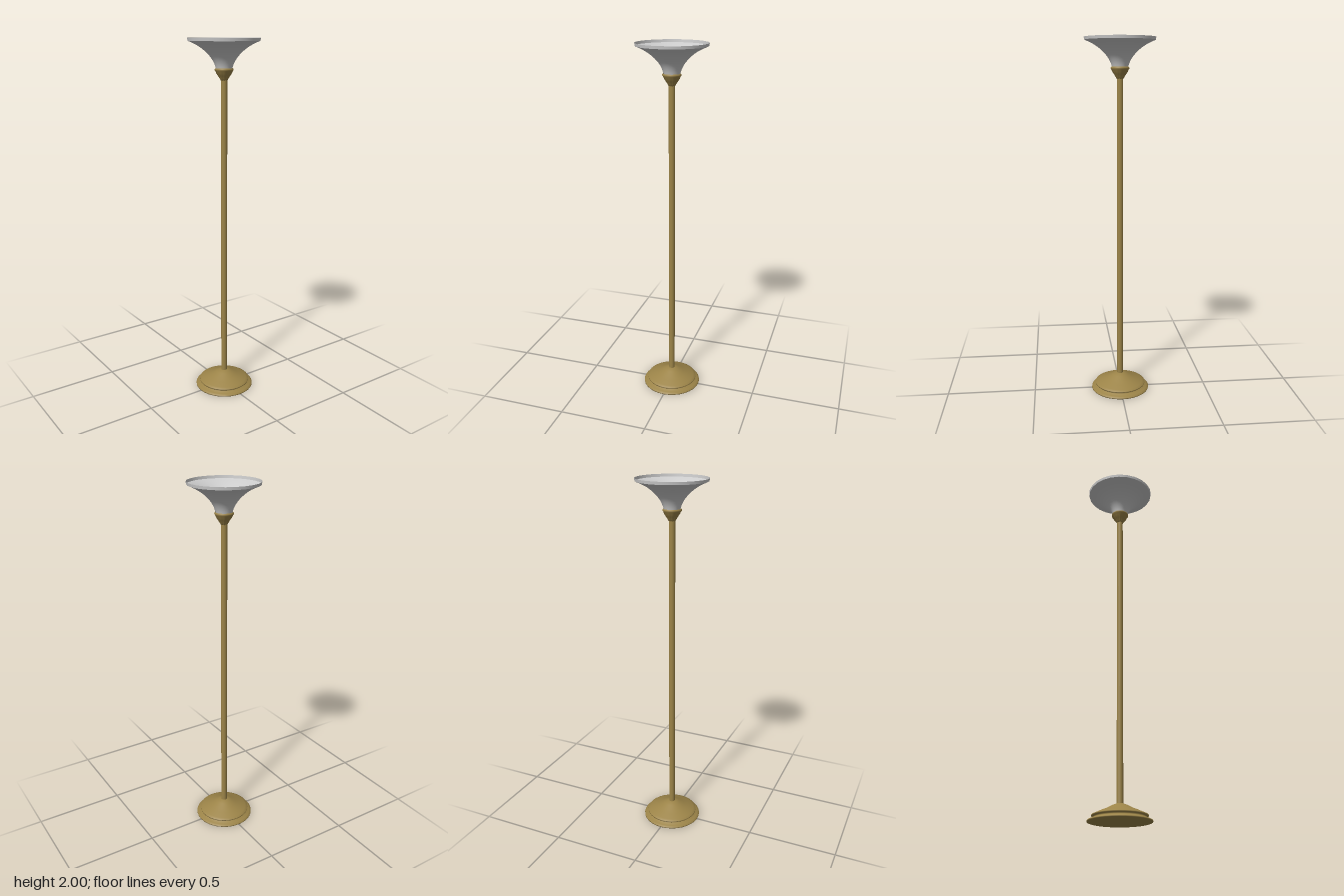
import * as THREE from 'three';

const brass = new THREE.MeshStandardMaterial({ color: 0x9c8448, side: THREE.DoubleSide });
const glass = new THREE.MeshStandardMaterial({ color: 0xcccccc, side: THREE.DoubleSide });

// Turned part from [radius, height] pairs
function turned(name, profile, segments, material) {
  const points = profile.map(([r, y]) => new THREE.Vector2(r, y));
  const mesh = new THREE.Mesh(new THREE.LatheGeometry(points, segments), material);
  mesh.name = name;
  return mesh;
}

export function createModel() {
  const lamp = new THREE.Group();
  lamp.name = 'floorLamp';

  // Stepped round foot, closed underneath
  lamp.add(turned('base', [
    [0, 0], [0.166, 0], [0.166, 0.006], [0.155, 0.012], [0.135, 0.018],
    [0.132, 0.026], [0.144, 0.028], [0.144, 0.034], [0.13, 0.04],
    [0.1, 0.054], [0.07, 0.066], [0.045, 0.08], [0.02, 0.09], [0, 0.09],
  ], 32, brass));

  // Slim pole
  const pole = new THREE.Mesh(new THREE.CylinderGeometry(0.017, 0.017, 1.71, 20), brass);
  pole.name = 'pole';
  pole.position.y = 0.935;
  lamp.add(pole);

  // Open cup holding the shade, lightly fluted towards its neck
  const cup = turned('shadeHolder', [
    [0.003, 1.79], [0.016, 1.782], [0.022, 1.793], [0.032, 1.808],
    [0.041, 1.82], [0.046, 1.832], [0.05, 1.836], [0.05, 1.842], [0.046, 1.846],
  ], 48, brass);
  const p = cup.geometry.attributes.position;
  for (let i = 0; i < p.count; i++) {
    const x = p.getX(i), z = p.getZ(i);
    const depth = THREE.MathUtils.clamp((1.825 - p.getY(i)) / 0.03, 0, 1);
    const k = 1 + 0.07 * depth * Math.cos(12 * Math.atan2(z, x));
    p.setX(i, x * k);
    p.setZ(i, z * k);
  }
  cup.geometry.computeVertexNormals();
  lamp.add(cup);

  // Flared trumpet shade with a short upright lip
  const flare = new THREE.SplineCurve([
    [0.042, 1.838], [0.05, 1.865], [0.066, 1.895], [0.092, 1.925],
    [0.125, 1.952], [0.16, 1.972], [0.19, 1.985],
  ].map(([r, y]) => new THREE.Vector2(r, y))).getPoints(18).map((v) => [v.x, v.y]);
  lamp.add(turned('shade', flare, 24, glass));
  lamp.add(turned('shadeLip', [[0.19, 1.985], [0.192, 2]], 24, glass));

  return lamp;
}
